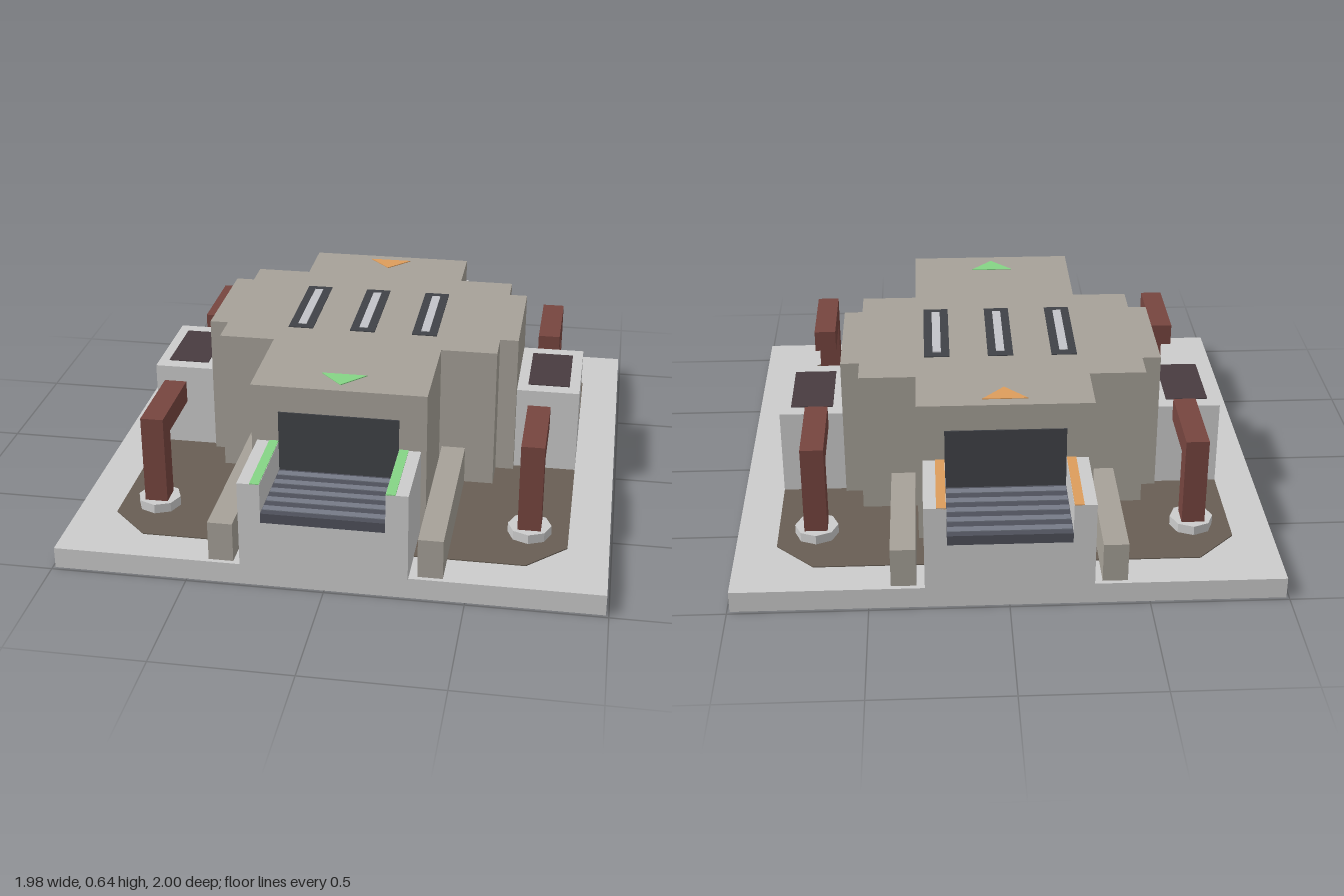
import * as THREE from 'three';

const GREY = 0xcccccc, STONE = 0xa6a198, PAD = 0x685e54, PIPE = 0x76453f, DARK = 0x404247;
const BELT = 0x4e505a, RIB = 0x767b87, VENT = 0x483c40, GREEN = 0x85d485, ORANGE = 0xdd9d5c, LAMP = 0xc2c3c8;

const materials = {};
const mat = (c) => (materials[c] ??= new THREE.MeshStandardMaterial({ color: c, flatShading: true }));

export function createModel() {
  const model = new THREE.Group();
  const add = (name, geometry, color) => {
    const mesh = new THREE.Mesh(geometry, mat(color));
    mesh.name = name;
    model.add(mesh);
    return mesh;
  };
  // box given by its extents on each axis
  const box = (name, color, [x0, x1], [y0, y1], [z0, z1]) => {
    const m = add(name, new THREE.BoxGeometry(Math.abs(x1 - x0), y1 - y0, Math.abs(z1 - z0)), color);
    m.position.set((x0 + x1) / 2, (y0 + y1) / 2, (z0 + z1) / 2);
    return m;
  };
  // upright slab from a plan outline of [x, z] points
  const slab = (name, color, points, y0, y1) => {
    const shape = new THREE.Shape(points.map(([x, z]) => new THREE.Vector2(x, -z)));
    const g = new THREE.ExtrudeGeometry(shape, { depth: y1 - y0, bevelEnabled: false });
    g.rotateX(-Math.PI / 2).translate(0, y0, 0);
    return add(name, g, color);
  };

  // ground plate and dark octagonal pad
  box('basePlate', GREY, [-0.99, 0.99], [0, 0.08], [-0.987, 0.987]);
  slab('floorPad', PAD, [[-0.84, -0.7], [-0.7, -0.84], [0.7, -0.84], [0.84, -0.7],
    [0.84, 0.7], [0.7, 0.84], [-0.7, 0.84], [-0.84, 0.7]], 0.08, 0.084);

  // main hall with a stepped plan
  const half = [[0.32, -0.67], [0.32, -0.44], [0.53, -0.44], [0.53, -0.32], [0.6, -0.32],
    [0.6, 0.135], [0.53, 0.135], [0.53, 0.265], [0.32, 0.265], [0.32, 0.67]];
  const mirrored = half.map(([x, z]) => [-x, z]).reverse();
  slab('mainHall', STONE, [...half, ...mirrored], 0.08, 0.635);

  // roof slots with light strips
  for (const x of [-0.24, 0, 0.24]) {
    box('roofSlot', DARK, [x - 0.048, x + 0.048], [0.63, 0.638], [-0.28, 0.142]);
    box('roofSlotLight', LAMP, [x - 0.016, x + 0.016], [0.632, 0.641], [-0.245, 0.11]);
  }

  // roof arrows, both pointing to the front
  const arrow = (color, z) =>
    slab('roofArrow', color, [[-0.083, z], [0.083, z], [0, z + 0.09]], 0.632, 0.638);
  arrow(GREEN, 0.535);
  arrow(ORANGE, -0.625);

  // conveyor port at each end: s is the z direction
  for (const [s, color] of [[1, GREEN], [-1, ORANGE]]) {
    const z = [s * 0.665, s];
    box('conveyorBed', GREY, [-0.22, 0.22], [0.08, 0.265], z);
    box('conveyorBelt', BELT, [-0.22, 0.22], [0.265, 0.302], z);
    for (let i = 0; i < 5; i++) {
      const c = s * (0.703 + i * 0.064);
      box('beltRib', RIB, [-0.218, 0.218], [0.3, 0.305], [c - 0.015, c + 0.015]);
    }
    box('portOpening', DARK, [-0.22, 0.22], [0.3, 0.535], [s * 0.66, s * 0.675]);
    for (const m of [-1, 1]) {
      box('conveyorSide', GREY, [m * 0.22, m * 0.3], [0.08, 0.415], z);
      box('sideStripe', color, [m * 0.221, m * 0.255], [0.412, 0.418], z);
      // low wall flanking the conveyor
      box('lowWall', STONE, [m * 0.33, m * 0.42], [0.08, 0.23],
        s > 0 ? [0.26, 0.97] : [-0.97, -0.435]);

      // bent pipe on an octagonal flange
      const flange = add('pipeFlange', new THREE.CylinderGeometry(0.08, 0.08, 0.04, 8), GREY);
      flange.position.set(m * 0.697, 0.1, s * 0.615);
      box('pipeUpright', PIPE, [m * 0.655, m * 0.74], [0.12, 0.375], [s * 0.575, s * 0.66]);
      box('pipeArm', PIPE, [m * 0.655, m * 0.74], [0.375, 0.46], [s * 0.325, s * 0.66]);
    }
  }

  // vent box on each side
  for (const m of [-1, 1]) {
    box('ventBox', GREY, [m * 0.6, m * 0.84], [0.08, 0.415], [-0.3, 0.105]);
    box('ventOpening', VENT, [m * 0.64, m * 0.8], [0.41, 0.418], [-0.245, 0.05]);
  }
  return model;
}
